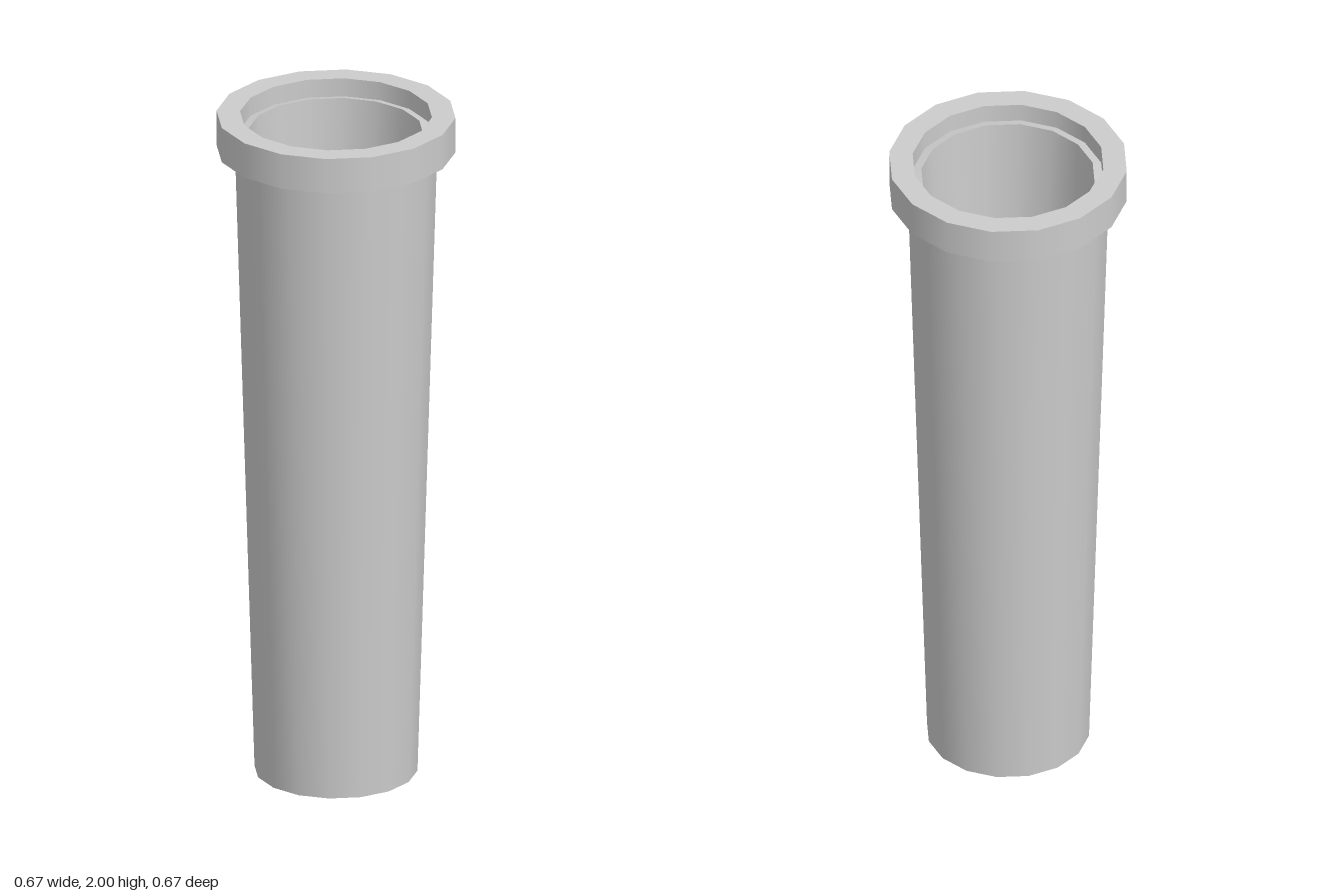
import * as THREE from 'three';
import { mergeGeometries } from 'three/addons/utils/BufferGeometryUtils.js';

const SIDES = 16;

// Revolves each profile segment separately: smooth around, sharp between segments
function turned(name, profile, material) {
  const bands = [];
  for (let i = 0; i < profile.length - 1; i++) {
    const points = [profile[i], profile[i + 1]].map(([r, y]) => new THREE.Vector2(r, y));
    bands.push(new THREE.LatheGeometry(points, SIDES, Math.PI / SIDES));
  }
  const mesh = new THREE.Mesh(mergeGeometries(bands), material);
  mesh.name = name;
  return mesh;
}

export function createModel() {
  const group = new THREE.Group();
  group.name = 'taperedSleeve';
  const grey = new THREE.MeshStandardMaterial({ color: 0xcccccc });

  // Tapered outer wall with its flat underside, open at the small hole
  group.add(turned('outerBody', [[0.054, 0], [0.232, 0], [0.288, 1.895]], grey));

  // Collar: underside, outer band, top face and the recessed inner wall
  group.add(turned('collar', [
    [0.288, 1.895], [0.34, 1.895], [0.34, 2], [0.273, 2], [0.273, 1.945],
  ], grey));

  // Slightly sloped lip, tapered bore, floor and drain hole
  group.add(turned('innerBore', [
    [0.273, 1.945], [0.248, 1.95], [0.165, 0.1], [0.054, 0.1], [0.054, 0],
  ], grey));

  return group;
}
